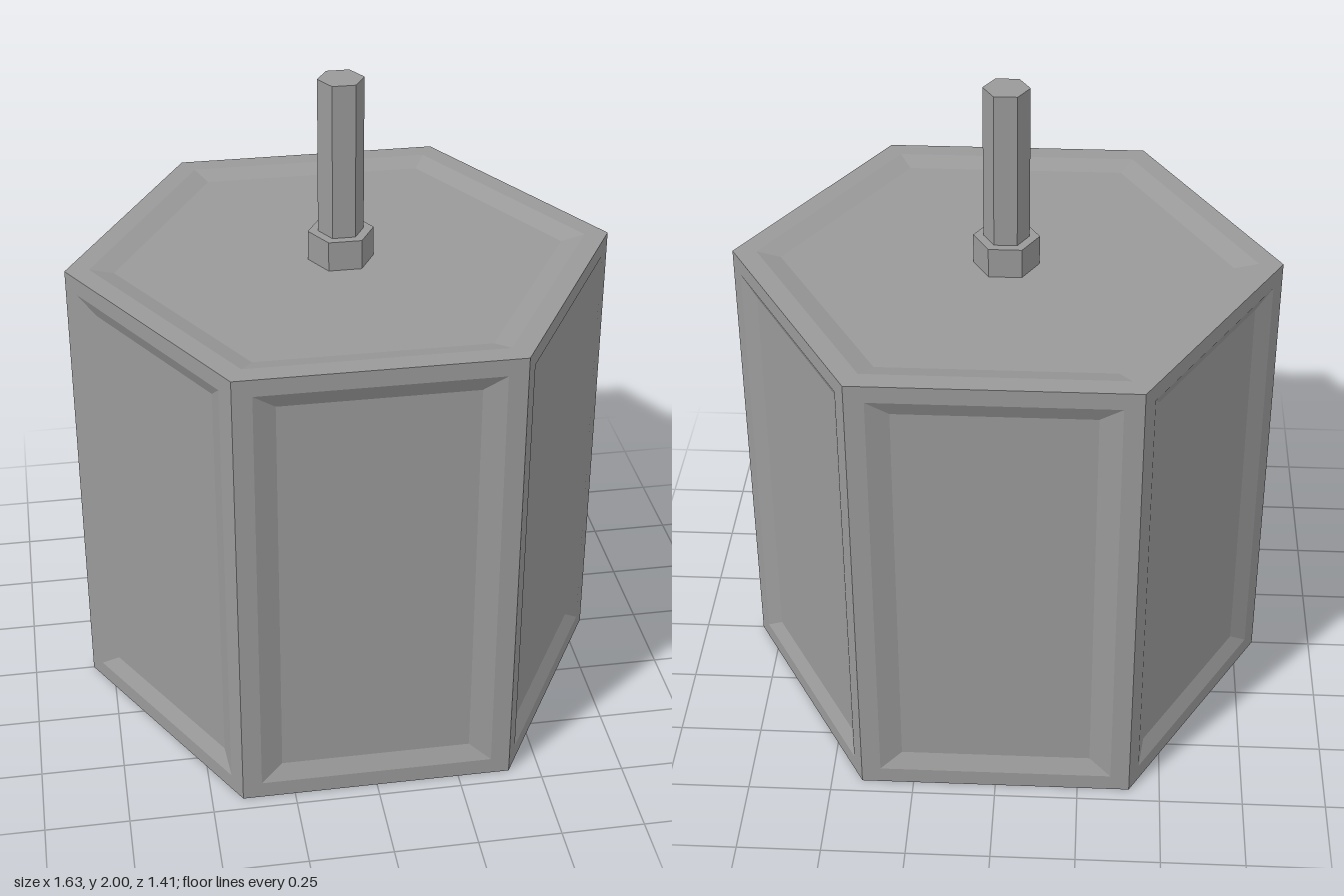
import * as THREE from 'three';
import { mergeGeometries } from 'three/addons/utils/BufferGeometryUtils.js';

const R = 0.814, APOTHEM = R * Math.cos(Math.PI / 6), HEIGHT = 1.45;
const SIDE_DEPTH = 0.023, END_DEPTH = 0.017;

// Flat panel facing +z: rim, sloped border and sunken floor from three rings of corners
function recessedPanel(ringAt, depth) {
  const rings = [ringAt(0, 0), ringAt(1, 0), ringAt(2, -depth)];
  const n = rings[0].length, pos = [];
  const tri = (...pts) => pts.forEach(p => pos.push(p.x, p.y, p.z));
  for (let r = 0; r < 2; r++) {
    const a = rings[r], b = rings[r + 1];
    for (let i = 0; i < n; i++) {
      const j = (i + 1) % n;
      tri(a[i], a[j], b[j]);
      tri(a[i], b[j], b[i]);
    }
  }
  const f = rings[2];
  for (let i = 1; i < n - 1; i++) tri(f[0], f[i], f[i + 1]);
  const g = new THREE.BufferGeometry();
  g.setAttribute('position', new THREE.Float32BufferAttribute(pos, 3));
  g.computeVertexNormals();
  return g;
}

function sideRing(step, z) {
  const x = R / 2 - [0, 0.057, 0.122][step];
  const y = HEIGHT / 2 - [0, 0.052, 0.102][step];
  return [[-x, -y], [x, -y], [x, y], [-x, y]].map(p => new THREE.Vector3(p[0], p[1], z));
}

function endRing(step, z) {
  const r = (APOTHEM - 0.062 * step) / Math.cos(Math.PI / 6);
  return Array.from({ length: 6 }, (_, i) =>
    new THREE.Vector3(r * Math.cos(i * Math.PI / 3), r * Math.sin(i * Math.PI / 3), z));
}

export function createModel() {
  const model = new THREE.Group();
  const material = new THREE.MeshStandardMaterial({ color: 0x9a9a9a, flatShading: true });
  const add = (name, geometry) => {
    const mesh = new THREE.Mesh(geometry, material);
    mesh.name = name;
    model.add(mesh);
  };

  // Six side panels
  const sides = [];
  for (let i = 0; i < 6; i++) {
    sides.push(recessedPanel(sideRing, SIDE_DEPTH)
      .translate(0, HEIGHT / 2, APOTHEM).rotateY(i * Math.PI / 3));
  }
  add('sidePanels', mergeGeometries(sides));

  // Hexagonal ends
  add('topPanel', recessedPanel(endRing, END_DEPTH).rotateX(-Math.PI / 2).translate(0, HEIGHT, 0));
  add('bottomPanel', recessedPanel(endRing, END_DEPTH).rotateX(Math.PI / 2));

  // Hexagonal collar and shaft, with corners on the x axis
  const hexPrism = (r, y0, y1) => new THREE.CylinderGeometry(r, r, y1 - y0, 6)
    .rotateY(Math.PI / 6).translate(0, (y0 + y1) / 2, 0);
  add('collar', hexPrism(0.098, HEIGHT - END_DEPTH, 1.525));
  add('shaft', hexPrism(0.068, 1.525, 2));

  return model;
}
